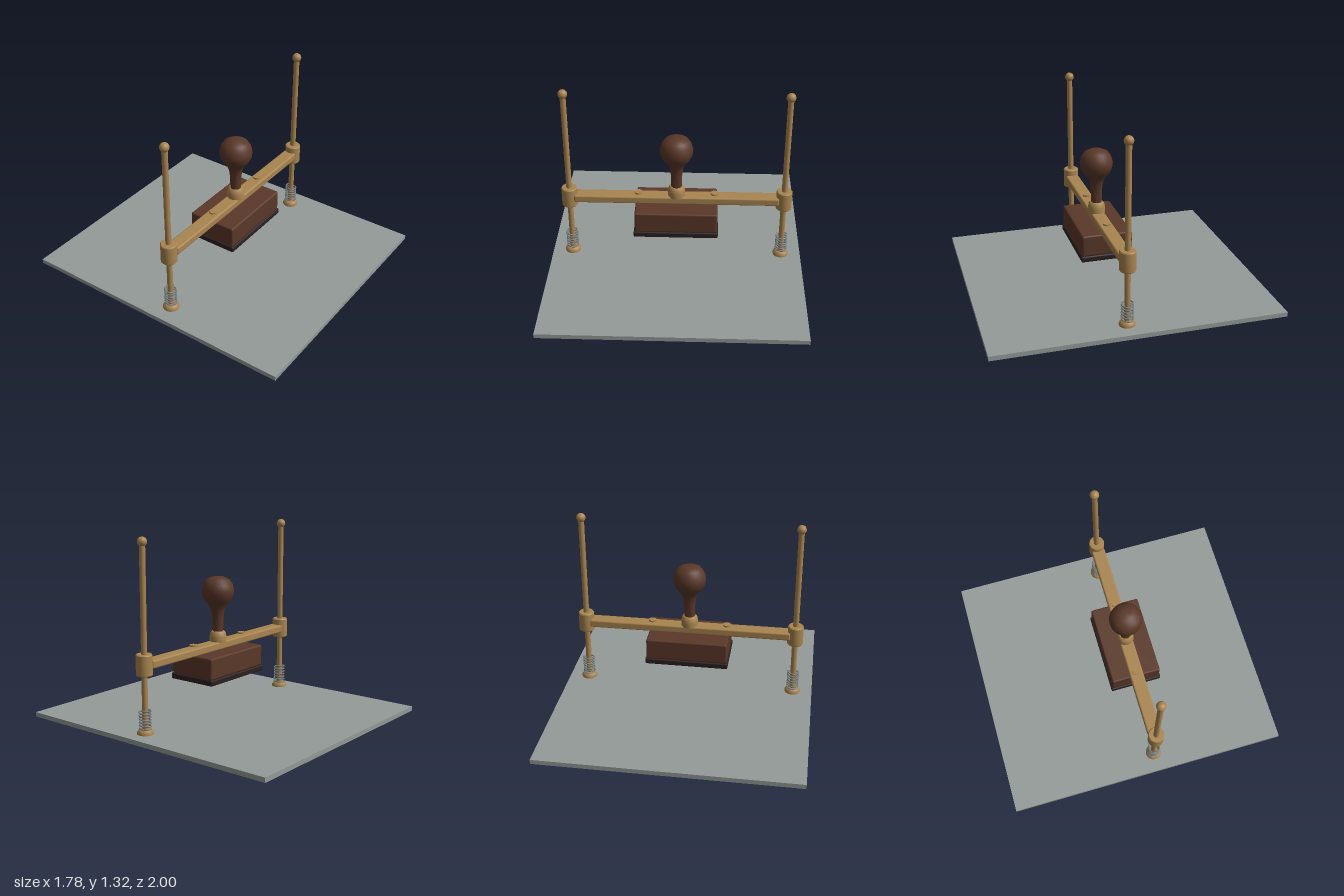
import * as THREE from 'three';
import { RoundedBoxGeometry } from 'three/addons/geometries/RoundedBoxGeometry.js';
import { toCreasedNormals } from 'three/addons/utils/BufferGeometryUtils.js';

const material = (name, color) => Object.assign(new THREE.MeshStandardMaterial({ color }), { name });

export function createModel() {
  const brass = material('brass', 0xa98550);
  const wood = material('dark wood', 0x5a3829);
  const rubber = material('rubber', 0x2c2022);
  const plateGrey = material('plate grey', 0x949b98);
  const steel = material('spring steel', 0x7c8284);

  const model = new THREE.Group();
  model.name = 'standingPress';

  const add = (parent, name, geometry, mat, x = 0, y = 0, z = 0) => {
    const mesh = new THREE.Mesh(geometry, mat);
    mesh.name = name;
    mesh.position.set(x, y, z);
    parent.add(mesh);
    return mesh;
  };
  const lathe = (points, segments = 24) => toCreasedNormals(
    new THREE.LatheGeometry(points.map(([r, y]) => new THREE.Vector2(r, y)), segments), 0.6);

  // Base plate
  add(model, 'basePlate', new THREE.BoxGeometry(1.78, 0.032, 2), plateGrey, 0, 0.016, 0);

  // Everything above the plate shares one centre line
  const press = new THREE.Group();
  press.name = 'press';
  press.position.z = 0.072;
  model.add(press);

  // Spring helix, shared by both posts
  const turns = 7;
  const coil = [];
  for (let i = 0; i <= turns * 12; i++) {
    const a = (i / 12) * Math.PI * 2;
    coil.push(new THREE.Vector3(Math.cos(a) * 0.038, 0.05 + (0.146 * i) / (turns * 12), Math.sin(a) * 0.038));
  }
  const springGeometry = new THREE.TubeGeometry(new THREE.CatmullRomCurve3(coil), turns * 20, 0.005, 6);

  // Guide posts with foot, spring, sliding collar and ball tip
  for (const side of [-1, 1]) {
    const post = new THREE.Group();
    post.name = side > 0 ? 'leftPost' : 'rightPost';
    post.position.x = side * 0.75;
    press.add(post);
    add(post, 'rod', new THREE.CylinderGeometry(0.02, 0.02, 1.25, 20), brass, 0, 0.655, 0);
    add(post, 'ballTip', new THREE.SphereGeometry(0.032, 20, 14), brass, 0, 1.29, 0);
    add(post, 'foot', lathe([[0, 0.03], [0.055, 0.03], [0.055, 0.044], [0.044, 0.062], [0.036, 0.066], [0, 0.066]]), brass);
    add(post, 'spring', springGeometry, steel);
    add(post, 'collar', lathe([[0, 0.424], [0.05, 0.424], [0.055, 0.43], [0.055, 0.56], [0.05, 0.566], [0, 0.566]]), brass);
    // Flat screw head over the crossbar
    add(press, 'screwHead', new THREE.CylinderGeometry(0.027, 0.027, 0.011, 20), brass, side * 0.265, 0.535, 0);
  }

  // Crossbar joining the collars
  add(press, 'crossbar', new RoundedBoxGeometry(1.43, 0.056, 0.096, 2, 0.012), brass, 0, 0.494, 0);

  // Stamp block and rubber pad
  add(press, 'stampBlock', new RoundedBoxGeometry(0.57, 0.15, 0.35, 2, 0.012), wood, 0, 0.392, 0);
  add(press, 'rubberPad', new RoundedBoxGeometry(0.585, 0.042, 0.366, 2, 0.01), rubber, 0, 0.299, 0);

  // Ferrule and turned knob handle
  add(press, 'ferrule', lathe([[0, 0.515], [0.06, 0.515], [0.06, 0.555], [0.054, 0.582], [0.044, 0.594], [0, 0.594]]), brass);
  add(press, 'handle', lathe([
    [0, 0.585], [0.037, 0.585], [0.038, 0.64], [0.04, 0.69], [0.047, 0.74], [0.063, 0.778],
    [0.092, 0.81], [0.11, 0.85], [0.114, 0.885], [0.104, 0.925], [0.082, 0.957], [0.048, 0.974], [0, 0.98],
  ]), wood);

  return model;
}
